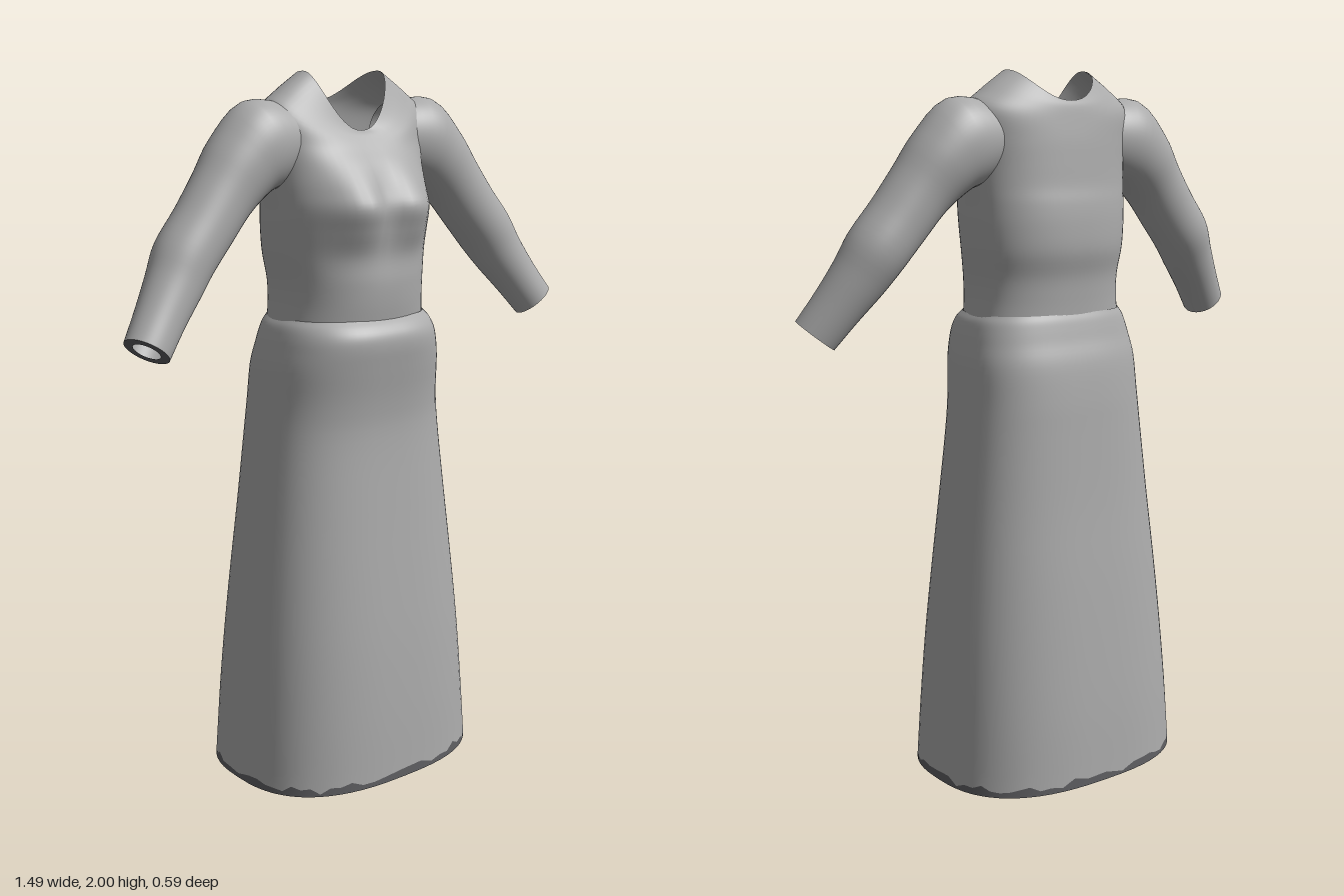
import * as THREE from 'three';

const SEG = 64;
const material = (name, color) => {
  const m = new THREE.MeshStandardMaterial({ color, side: THREE.DoubleSide });
  m.name = name;
  return m;
};
const cloth = material('light grey cloth', 0xababab);
const lining = material('dark grey lining', 0x606063);

// Signed power, for rounded-rectangle cross-sections
const spow = (v, p) => Math.sign(v) * Math.abs(v) ** p;

// Smooth skin through closed rings of points, refined along each column
function loft(rings, sub) {
  const rows = (rings.length - 1) * sub;
  const pos = [], idx = [];
  const columns = [];
  for (let j = 0; j < SEG; j++) {
    columns.push(new THREE.CatmullRomCurve3(rings.map(r => r[j]), false, 'catmullrom', 0.5));
  }
  for (let i = 0; i <= rows; i++) {
    for (let j = 0; j < SEG; j++) pos.push(...columns[j].getPoint(i / rows).toArray());
  }
  for (let i = 0; i < rows; i++) {
    for (let j = 0; j < SEG; j++) {
      const k = (j + 1) % SEG;
      const a = i * SEG + j, b = i * SEG + k, c = a + SEG, d = b + SEG;
      idx.push(a, c, b, b, c, d);
    }
  }
  const g = new THREE.BufferGeometry();
  g.setAttribute('position', new THREE.Float32BufferAttribute(pos, 3));
  g.setIndex(idx);
  g.computeVertexNormals();
  return g;
}

// Body ring: half width, front z, back z, and heights at side, front and back
function bodyRing([hw, zf, zb, ys, yf = ys, yb = ys], power) {
  const ring = [];
  for (let j = 0; j < SEG; j++) {
    const a = (j / SEG) * Math.PI * 2;
    const x = hw * spow(Math.cos(a), 2 / power);
    const s = spow(Math.sin(a), 2 / power);
    const end = s > 0 ? yf : yb;
    const y = end + (ys - end) * Math.abs(x / hw) ** 2.2;
    let z = s > 0 ? s * zf : -s * zb;
    // Bust: two soft bumps on the front
    if (s > 0) {
      const dx = (Math.abs(x) - 0.1) / 0.095, dy = (y - 1.64) / 0.1;
      z += 0.055 * s * Math.exp(-dx * dx - dy * dy);
    }
    ring.push(new THREE.Vector3(x, y, z));
  }
  return ring;
}

function mesh(geometry, name, mat = cloth) {
  const m = new THREE.Mesh(geometry, mat);
  m.name = name;
  return m;
}

const HEM = bodyRing([0.385, 0.297, -0.295, 0], 2.6);

// Skirt with an uneven dark band along the hem
function makeSkirt() {
  const rows = [
    [0.372, 0.287, -0.283, 0.2], [0.356, 0.272, -0.265, 0.4],
    [0.336, 0.252, -0.245, 0.6], [0.314, 0.231, -0.223, 0.8], [0.292, 0.213, -0.206, 1.0],
    [0.281, 0.216, -0.198, 1.1], [0.273, 0.23, -0.185, 1.2], [0.26, 0.238, -0.167, 1.26],
    [0.25, 0.235, -0.158, 1.295], [0.24, 0.219, -0.151, 1.32], [0.227, 0.198, -0.143, 1.338],
  ];
  const band = HEM.map((p, j) => new THREE.Vector3(
    p.x * 0.998, 0.02 + 0.007 * Math.sin(j * 1.3) + 0.006 * Math.sin(j * 2.9 + 1), p.z * 0.998));
  const group = new THREE.Group();
  group.name = 'skirt';
  group.add(mesh(loft([band, ...rows.map(r => bodyRing(r, 2.6))], 4), 'skirtCloth'));
  group.add(mesh(loft([HEM, band], 1), 'hemBand', lining));
  return group;
}

// Flat underside with two round openings, each with a paler foot mark in front
function makeBase() {
  const group = new THREE.Group();
  group.name = 'skirtBase';
  const shape = new THREE.Shape(HEM.map(p => new THREE.Vector2(p.x, p.z)));
  for (const s of [-1, 1]) {
    const hole = new THREE.Path();
    hole.absarc(s * 0.15, 0, 0.045, 0, Math.PI * 2);
    shape.holes.push(hole);
    const foot = new THREE.Shape([
      [-0.025, 0.044], [-0.02, 0.08], [-0.032, 0.115], [-0.018, 0.14],
      [0.018, 0.14], [0.032, 0.115], [0.02, 0.08], [0.025, 0.044],
    ].map(([x, z]) => new THREE.Vector2(s * 0.15 + x, z)));
    const mark = mesh(new THREE.ShapeGeometry(foot).rotateX(Math.PI / 2), 'footMark');
    mark.position.y = -0.002;
    group.add(mark);
  }
  group.add(mesh(new THREE.ShapeGeometry(shape, 16).rotateX(Math.PI / 2), 'underside', lining));
  return group;
}

function makeBodice() {
  const rows = [
    [0.233, 0.2, -0.144, 1.32], [0.227, 0.207, -0.146, 1.38], [0.228, 0.209, -0.151, 1.44],
    [0.238, 0.2, -0.167, 1.51], [0.244, 0.198, -0.168, 1.58], [0.246, 0.198, -0.163, 1.64],
    [0.248, 0.182, -0.154, 1.69], [0.25, 0.16, -0.148, 1.75], [0.257, 0.134, -0.142, 1.82, 1.79, 1.81],
    [0.262, 0.114, -0.134, 1.9, 1.818, 1.865], [0.21, 0.102, -0.128, 1.947, 1.833, 1.9],
    [0.132, 0.09, -0.122, 2.0, 1.842, 1.918],
  ];
  return mesh(loft(rows.map(r => bodyRing(r, 2.3)), 5), 'bodice');
}

// Bent sleeve: centre x, y, z, radius in the arm plane, radius in depth
function makeSleeve(s) {
  const path = [
    [0.17, 1.82, -0.005, 0.095, 0.085], [0.275, 1.808, -0.003, 0.123, 0.104],
    [0.345, 1.755, 0, 0.107, 0.1], [0.41, 1.685, 0.008, 0.093, 0.088],
    [0.475, 1.605, 0.015, 0.088, 0.085], [0.54, 1.528, 0.022, 0.086, 0.085],
    [0.585, 1.46, 0.037, 0.078, 0.075], [0.64, 1.385, 0.058, 0.069, 0.066],
    [0.695, 1.31, 0.081, 0.064, 0.06],
  ];
  const last = path.length - 1;
  const ring = (i, scale = 1) => {
    const [x, y, z, rn, rz] = path[i];
    const p = path[Math.max(i - 1, 0)], q = path[Math.min(i + 1, last)];
    const t = new THREE.Vector3(q[0] - p[0], q[1] - p[1], q[2] - p[2]).normalize();
    const n = new THREE.Vector3(-t.y, t.x, 0).normalize();
    const b = t.clone().cross(n);
    const pts = [];
    for (let j = 0; j < SEG; j++) {
      const a = (j / SEG) * Math.PI * 2;
      const c = new THREE.Vector3(x, y, z)
        .addScaledVector(n, Math.cos(a) * rn * scale)
        .addScaledVector(b, -s * Math.sin(a) * rz * scale);
      c.x *= s;
      pts.push(c);
    }
    return pts;
  };
  const group = new THREE.Group();
  group.name = s > 0 ? 'leftSleeve' : 'rightSleeve';
  group.add(mesh(loft(path.map((_, i) => ring(i)), 4), 'sleeve'));
  // Turned-in cuff edge around the wrist opening
  group.add(mesh(loft([ring(last), ring(last, 0.6)], 1), 'cuffEdge', lining));
  return group;
}

export function createModel() {
  const dress = new THREE.Group();
  dress.name = 'dress';
  dress.add(makeSkirt(), makeBase(), makeBodice(), makeSleeve(1), makeSleeve(-1));
  return dress;
}
